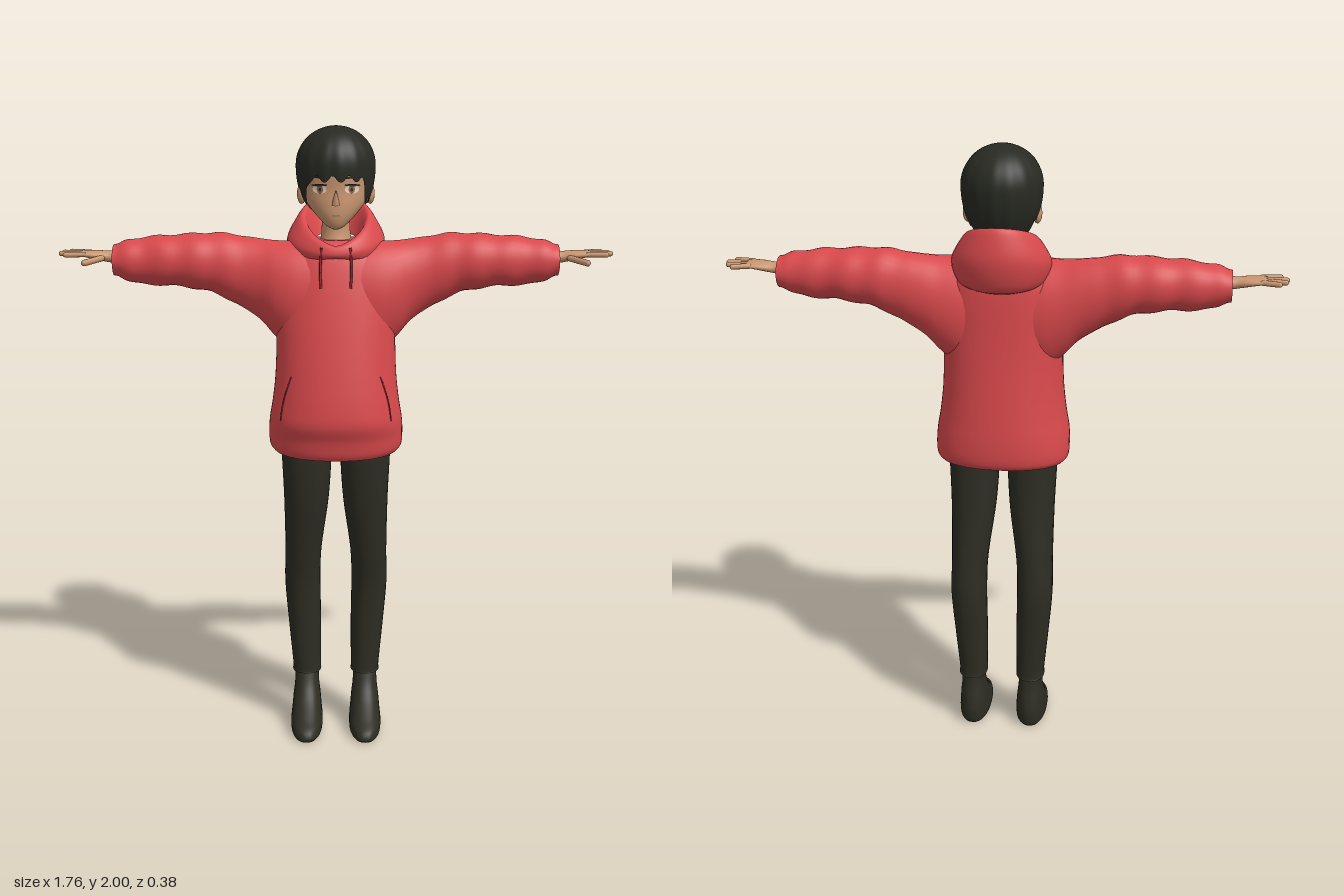
import * as THREE from 'three';

const mat = (name, color, side = THREE.FrontSide) => {
  const m = new THREE.MeshStandardMaterial({ color, side });
  m.name = name;
  return m;
};

// Signed power, for squarish ellipses
const sp = (v, e) => Math.sign(v) * Math.abs(v) ** e;

// Smooth value between rows of numbers
function blendRows(rows, t) {
  const i = Math.min(Math.floor(t), rows.length - 2), f = t - i;
  const [a, b, c, d] = [rows[Math.max(i - 1, 0)], rows[i], rows[i + 1], rows[Math.min(i + 2, rows.length - 1)]];
  return b.map((_, k) => b[k] + 0.5 * f * (c[k] - a[k] + f * (2 * a[k] - 5 * b[k] + 4 * c[k] - d[k]
    + f * (3 * (b[k] - c[k]) + d[k] - a[k]))));
}

// Skin over rings, with flat caps on both ends if wanted
function loft(rings, point, { n = 40, steps = 5, caps = true } = {}) {
  const pos = [], idx = [], rows = (rings.length - 1) * steps;
  for (let i = 0; i <= rows; i++) {
    const ring = blendRows(rings, i / steps);
    for (let j = 0; j < n; j++) pos.push(...point(ring, (j / n) * Math.PI * 2));
  }
  for (let i = 0; i < rows; i++) for (let j = 0; j < n; j++) {
    const a = i * n + j, b = i * n + (j + 1) % n;
    idx.push(a, b, b + n, a, b + n, a + n);
  }
  if (caps) for (const row of [0, rows]) {
    const start = pos.length / 3, mid = [0, 0, 0];
    for (let j = 0; j < n; j++) for (let k = 0; k < 3; k++) {
      const v = pos[(row * n + j) * 3 + k];
      pos.push(v);
      mid[k] += v / n;
    }
    pos.push(...mid);
    for (let j = 0; j < n; j++) {
      const a = start + j, b = start + (j + 1) % n;
      idx.push(start + n, ...(row ? [a, b] : [b, a]));
    }
  }
  const g = new THREE.BufferGeometry();
  g.setAttribute('position', new THREE.Float32BufferAttribute(pos, 3));
  g.setIndex(idx);
  g.computeVertexNormals();
  return g;
}

// Upright ring: [yFront, yBack, zFront, zBack, xMid, halfWidth]
const upright = (p, lift = 1) => ([yf, yb, zf, zb, cx, hw], a) => {
  const c = Math.cos(a), t = ((1 - c) / 2) ** lift;
  return [cx + hw * sp(Math.sin(a), 2 / p), yf + (yb - yf) * t, (zf + zb) / 2 + (zf - zb) / 2 * sp(c, 2 / p)];
};
// Sideways ring: [x, yLow, yHigh, zBack, zFront], with optional cloth folds
const sideways = (fold = 0) => ([x, y0, y1, zb, zf], a) => {
  const k = 1 + fold * Math.sin(x * 58 + Math.cos(a) * 1.5) * THREE.MathUtils.smoothstep(x, 0.25, 0.4);
  return [x, (y0 + y1) / 2 - k * (y1 - y0) / 2 * Math.sin(a), (zf + zb) / 2 + k * (zf - zb) / 2 * Math.cos(a)];
};

// Depth of the front surface of upright rings at x, y
function frontZ(rings, p, x, y) {
  let t = 0;
  while (t < rings.length - 1.01 && blendRows(rings, t)[0] < y) t += 0.02;
  const [, , zf, zb, cx, hw] = blendRows(rings, t);
  const u = Math.min(Math.abs((x - cx) / hw), 1);
  return (zf + zb) / 2 + (zf - zb) / 2 * (1 - u ** p) ** (1 / p);
}

function mirrored(geo) {
  const g = geo.clone().scale(-1, 1, 1), ix = g.index;
  for (let i = 0; i < ix.count; i += 3) {
    const b = ix.getX(i + 1);
    ix.setX(i + 1, ix.getX(i + 2));
    ix.setX(i + 2, b);
  }
  return g;
}

// Rounded rod between two points
function rod(a, b, r) {
  const A = new THREE.Vector3(...a), B = new THREE.Vector3(...b), d = B.clone().sub(A);
  const g = new THREE.CapsuleGeometry(r, d.length(), 4, 10);
  g.applyQuaternion(new THREE.Quaternion().setFromUnitVectors(new THREE.Vector3(0, 1, 0), d.normalize()));
  return g.translate(...A.add(B).multiplyScalar(0.5).toArray());
}

const cord = (pts, r) => new THREE.TubeGeometry(
  new THREE.CatmullRomCurve3(pts.map(p => new THREE.Vector3(...p))), 16, r, 6);

export function createModel() {
  const group = new THREE.Group();
  const red = mat('hoodie red', 0xd9494c), darkRed = mat('cord dark red', 0x8e2c30);
  const cloth = mat('trouser black', 0x2d2d23), hairMat = mat('hair black', 0x282a22, THREE.DoubleSide);
  const skin = mat('skin', 0xc99670), white = mat('eye white', 0xe6d6c6), brown = mat('iris brown', 0x9a6a48);

  const add = (name, geo, m) => {
    const mesh = new THREE.Mesh(geo, m);
    mesh.name = name;
    group.add(mesh);
  };
  const pair = (name, geo, m) => {
    add('left' + name, geo, m);
    add('right' + name, mirrored(geo), m);
  };

  // Hoodie body
  const torso = [
    [0.965, 0.985, 0.15, -0.15, 0, 0.2], [0.985, 1.0, 0.16, -0.16, 0, 0.213], [1.03, 1.03, 0.17, -0.165, 0, 0.216],
    [1.08, 1.08, 0.188, -0.165, 0, 0.213], [1.14, 1.14, 0.185, -0.16, 0, 0.203], [1.22, 1.22, 0.172, -0.152, 0, 0.194],
    [1.32, 1.32, 0.152, -0.142, 0, 0.19], [1.42, 1.42, 0.13, -0.135, 0, 0.19], [1.52, 1.52, 0.105, -0.13, 0, 0.185],
    [1.59, 1.59, 0.083, -0.122, 0, 0.17], [1.635, 1.635, 0.06, -0.1, 0, 0.12], [1.65, 1.65, 0.04, -0.08, 0, 0.08]];
  add('hoodieBody', loft(torso, upright(2.2), { n: 56 }), red);

  // Sleeves with soft folds and a cuff
  pair('Sleeve', loft([
    [0.06, 1.3, 1.64, -0.11, 0.1], [0.13, 1.29, 1.645, -0.118, 0.1], [0.19, 1.335, 1.645, -0.115, 0.085],
    [0.24, 1.39, 1.65, -0.112, 0.062], [0.3, 1.43, 1.658, -0.11, 0.05], [0.38, 1.472, 1.668, -0.11, 0.05],
    [0.46, 1.492, 1.664, -0.11, 0.052], [0.54, 1.5, 1.66, -0.1, 0.046], [0.61, 1.503, 1.653, -0.095, 0.038],
    [0.66, 1.515, 1.645, -0.09, 0.036], [0.69, 1.53, 1.632, -0.083, 0.032], [0.705, 1.532, 1.63, -0.08, 0.03]],
  sideways(0.035), { n: 32 }), red);

  // Hood: outside up, over the rim and down inside
  add('hood', loft([
    [1.6, 1.56, 0.085, -0.13, 0, 0.12], [1.605, 1.585, 0.095, -0.172, 0, 0.143], [1.615, 1.67, 0.098, -0.195, 0, 0.155],
    [1.632, 1.745, 0.092, -0.183, 0, 0.128], [1.638, 1.775, 0.08, -0.168, 0, 0.106], [1.632, 1.75, 0.066, -0.15, 0, 0.09],
    [1.61, 1.66, 0.05, -0.11, 0, 0.07]], upright(2, 0.7), { caps: false }), red);

  // Draw cords and pocket slits
  const onTorso = (x, y, off) => [x, y, frontZ(torso, 2.2, x, y) + off];
  pair('DrawCord', cord([[0.045, 1.635, 0.09], onTorso(0.047, 1.6, 0.012), onTorso(0.048, 1.55, 0.006),
    onTorso(0.046, 1.51, 0.005)], 0.004), darkRed);
  pair('PocketSlit', cord([onTorso(0.14, 1.235, 0), onTorso(0.155, 1.19, 0), onTorso(0.168, 1.14, 0),
    onTorso(0.175, 1.09, 0)], 0.003), darkRed);

  // Hands
  pair('Palm', loft([
    [0.69, 1.57, 1.612, -0.055, 0.003], [0.72, 1.574, 1.61, -0.05, 0.0], [0.755, 1.582, 1.612, -0.06, 0.012],
    [0.79, 1.59, 1.612, -0.065, 0.016], [0.808, 1.595, 1.61, -0.062, 0.012]], sideways(), { n: 20 }), skin);
  [[-0.055, -0.07, 0.845], [-0.035, -0.045, 0.865], [-0.014, -0.018, 0.87], [0.006, 0.014, 0.852]].forEach(([z0, z1, x], i) =>
    pair('Finger' + (i + 1), rod([0.795, 1.602, z0], [x, 1.602, z1], 0.0085), skin));
  pair('Thumb', rod([0.74, 1.59, 0.003], [0.787, 1.582, 0.056], 0.01), skin);

  // Trousers, ankles and shoes
  pair('TrouserLeg', loft([
    [0.19, 0.185, 0.032, -0.1, 0.098, 0.048], [0.21, 0.21, 0.03, -0.098, 0.098, 0.047], [0.35, 0.35, 0.033, -0.108, 0.104, 0.054],
    [0.5, 0.5, 0.042, -0.12, 0.111, 0.059], [0.62, 0.62, 0.064, -0.113, 0.108, 0.06], [0.8, 0.8, 0.095, -0.098, 0.097, 0.073],
    [0.95, 0.95, 0.11, -0.09, 0.095, 0.081], [1.06, 1.06, 0.11, -0.09, 0.095, 0.085]], upright(2.3), { n: 32 }), cloth);
  pair('Ankle', loft([[0.183, 0.183, 0.008, -0.076, 0.098, 0.04], [0.21, 0.21, 0.008, -0.076, 0.098, 0.04]], upright(2)), skin);
  pair('Shoe', loft([
    [0, 0, 0.165, -0.085, 0.098, 0.046], [0.012, 0.012, 0.175, -0.096, 0.098, 0.052], [0.035, 0.035, 0.162, -0.1, 0.098, 0.053],
    [0.06, 0.06, 0.12, -0.1, 0.098, 0.05], [0.1, 0.1, 0.065, -0.092, 0.098, 0.046], [0.14, 0.14, 0.03, -0.082, 0.098, 0.041],
    [0.186, 0.186, 0.008, -0.075, 0.098, 0.039]], upright(2.3), { n: 32 }), cloth);

  // Neck and head
  add('neck', loft([[1.58, 1.58, 0.045, -0.09, 0, 0.07], [1.635, 1.635, 0.03, -0.085, 0, 0.052],
    [1.68, 1.68, 0.02, -0.08, 0, 0.045], [1.77, 1.77, 0.02, -0.08, 0, 0.045]], upright(2)), skin);
  const head = [
    [1.686, 1.7, 0.055, 0.02, 0, 0.015], [1.695, 1.71, 0.074, 0, 0, 0.033], [1.725, 1.74, 0.085, -0.05, 0, 0.064],
    [1.765, 1.77, 0.086, -0.09, 0, 0.092], [1.81, 1.81, 0.083, -0.12, 0, 0.106], [1.88, 1.88, 0.085, -0.14, 0, 0.11],
    [1.94, 1.94, 0.055, -0.11, 0, 0.085], [1.97, 1.97, 0, -0.06, 0, 0.03]];
  add('head', loft(head, upright(2)), skin);
  const nose = new THREE.ConeGeometry(0.013, 0.05, 12);
  nose.rotateX(0.35).translate(0, 1.79, 0.088);
  add('nose', nose, skin);
  pair('Ear', new THREE.SphereGeometry(1, 16, 12).scale(0.014, 0.032, 0.022).translate(0.108, 1.79, -0.025), skin);

  // Face details laid onto the head as thin patches
  const patch = (x, y, rx, ry, off, tilt = 0) => {
    const g = new THREE.CircleGeometry(1, 24).scale(rx, ry, 1).rotateZ(tilt).translate(x, y, 0);
    const p = g.attributes.position;
    for (let i = 0; i < p.count; i++) p.setZ(i, frontZ(head, 2, p.getX(i), p.getY(i)) + off);
    g.computeVertexNormals();
    return g;
  };
  pair('EyeWhite', patch(0.05, 1.812, 0.022, 0.013, 0.003), white);
  pair('Iris', patch(0.049, 1.812, 0.01, 0.012, 0.005), brown);
  pair('Pupil', patch(0.049, 1.812, 0.004, 0.006, 0.007), hairMat);
  pair('Lash', patch(0.051, 1.825, 0.025, 0.0035, 0.006, -0.05), hairMat);
  pair('Brow', patch(0.05, 1.849, 0.025, 0.0035, 0.004, 0.08), hairMat);
  add('mouth', patch(0, 1.732, 0.014, 0.002, 0.003), brown);

  // Hair: a cap whose hem follows fringe, sideburns and nape, ending in locks
  const hem = a => {
    const d = Math.abs(a > Math.PI ? a - 2 * Math.PI : a);
    const side = THREE.MathUtils.smoothstep(d, 0.65, 1.1), back = THREE.MathUtils.smoothstep(d, 1.7, 2.4);
    return 1.856 - 0.075 * side - 0.06 * back - 0.022 * Math.abs(Math.sin(a * 7.5 + 0.6)) ** 1.5;
  };
  const hairPoint = ([s], a) => {
    const low = hem(a), f = Math.min(s, 1);
    const y = low + (2 - low) * Math.sin(f * Math.PI / 2);
    const h = (y - 1.88) / (y > 1.88 ? 0.12 : 0.2);
    const r = Math.sqrt(Math.max(0, 1 - h * h)) * (1 + 0.012 * Math.sin(a * 15) * (1 - f));
    return [0.125 * r * Math.sin(a), y, -0.032 + 0.135 * r * Math.cos(a)];
  };
  add('hair', loft([[0], [0.25], [0.5], [0.75], [1]], hairPoint, { n: 120, steps: 6, caps: false }), hairMat);

  return group;
}
